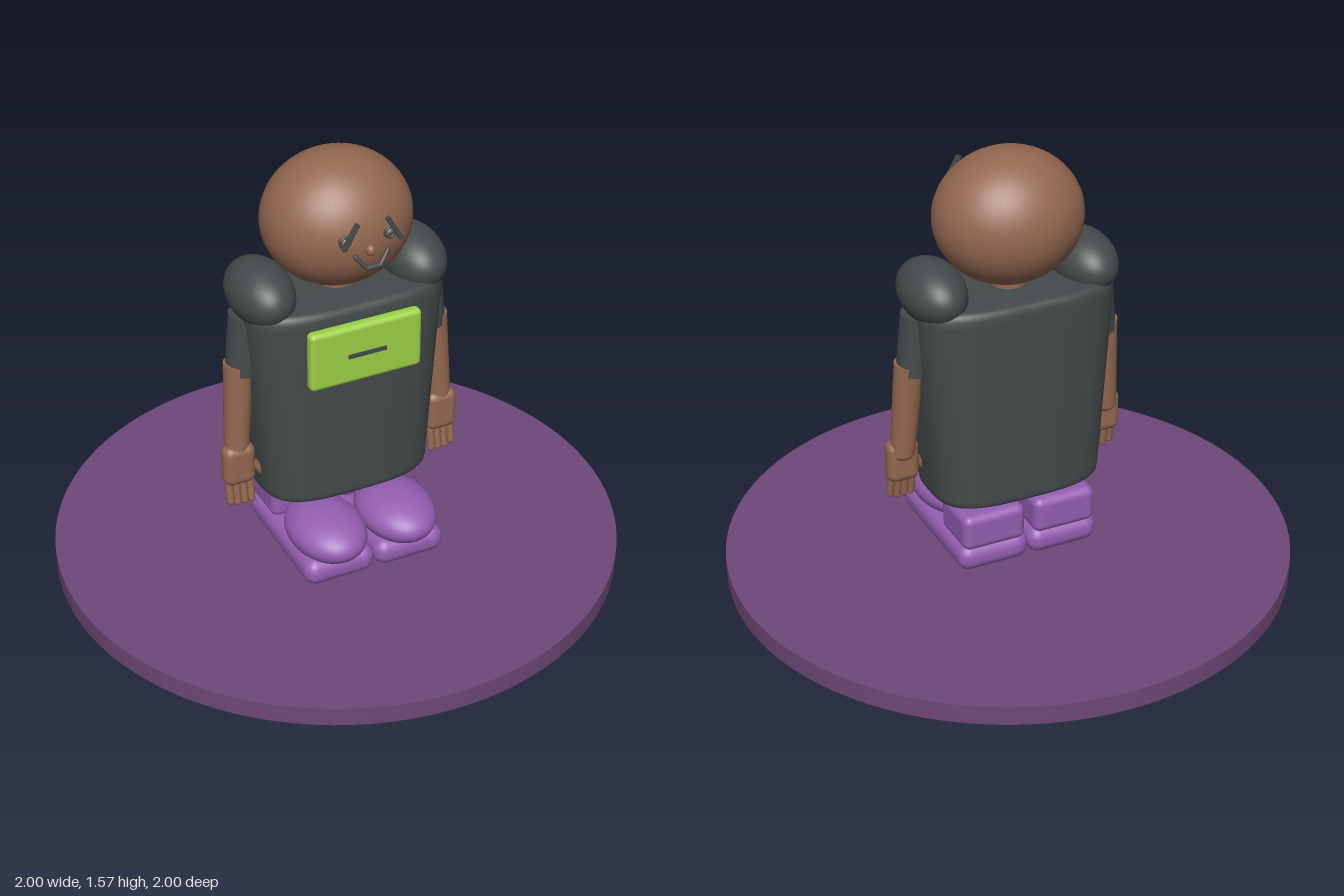
import * as THREE from 'three';
import { mergeVertices } from 'three/addons/utils/BufferGeometryUtils.js';
import { RoundedBoxGeometry } from 'three/addons/geometries/RoundedBoxGeometry.js';

const material = (name, color) => {
  const m = new THREE.MeshStandardMaterial({ color });
  m.name = name;
  return m;
};

export function createModel() {
  const skin = material('skin', 0x946850);
  const cloth = material('dark cloth', 0x444a4b);
  const shoe = material('shoe purple', 0x955fb2);
  const floor = material('base purple', 0x6e4878);
  const lime = material('lime', 0x9cd148);
  const model = new THREE.Group();

  const add = (parent, name, geometry, mat, x = 0, y = 0, z = 0) => {
    const mesh = new THREE.Mesh(geometry, mat);
    mesh.name = name;
    mesh.position.set(x, y, z);
    parent.add(mesh);
    return mesh;
  };
  const ellipsoid = (rx, ry, rz) => new THREE.SphereGeometry(1, 40, 28).scale(rx, ry, rz);
  const box = (w, h, d, r) => new RoundedBoxGeometry(w, h, d, 4, r);
  // Round limb between two points, radius r1 at a and r2 at b
  const limb = (parent, name, mat, a, b, r1, r2 = r1, capsule = false) => {
    const from = new THREE.Vector3(...a), to = new THREE.Vector3(...b);
    const dir = to.clone().sub(from), length = dir.length();
    const geo = capsule
      ? new THREE.CapsuleGeometry(r1, length, 6, 14)
      : new THREE.CylinderGeometry(r2, r1, length, 28);
    const mesh = add(parent, name, geo, mat, ...from.add(to).multiplyScalar(0.5).toArray());
    mesh.quaternion.setFromUnitVectors(new THREE.Vector3(0, 1, 0), dir.normalize());
    return mesh;
  };

  // Round stand
  add(model, 'base', new THREE.CylinderGeometry(1, 1, 0.07, 96), floor, 0, 0.035, 0);

  // Torso: a turned profile squared off into a tapered, rounded block
  const profile = [[0, 0.335], [0.9, 0.335], [0.97, 0.338], [0.995, 0.348], [1, 0.365], [1, 0.6],
    [1, 0.85], [1, 1.04], [0.99, 1.065], [0.96, 1.082], [0.9, 1.09], [0, 1.09]];
  let torso = new THREE.LatheGeometry(profile.map(p => new THREE.Vector2(...p)), 72);
  const pos = torso.attributes.position;
  const power = (v, n) => Math.sign(v) * Math.abs(v) ** n;
  for (let i = 0; i < pos.count; i++) {
    const x = pos.getX(i), y = pos.getY(i), z = pos.getZ(i);
    const r = Math.hypot(x, z) || 1e-9;
    const halfWidth = THREE.MathUtils.mapLinear(y, 0.335, 1.09, 0.308, 0.365);
    pos.setX(i, r * power(x / r, 0.62) * halfWidth);
    pos.setZ(i, r * power(z / r, 0.62) * 0.195);
  }
  torso.deleteAttribute('normal');
  torso.deleteAttribute('uv');
  torso = mergeVertices(torso, 1e-5);
  torso.computeVertexNormals();
  add(model, 'torso', torso, cloth);

  // Neck and head
  add(model, 'neck', new THREE.CylinderGeometry(0.065, 0.065, 0.12, 28), skin, 0, 1.11, 0);
  add(model, 'head', ellipsoid(0.26, 0.233, 0.233), skin, 0, 1.335, 0);

  // Chest panel with a slot
  add(model, 'chestPanel', box(0.41, 0.22, 0.046, 0.018), lime, 0, 0.935, 0.217);
  add(model, 'chestSlot', new THREE.BoxGeometry(0.14, 0.014, 0.008), cloth, 0, 0.935, 0.242);

  // Nose and smile
  add(model, 'nose', ellipsoid(0.016, 0.02, 0.018), skin, 0, 1.333, 0.255);
  const smile = [[-0.058, 1.325, 0.264], [-0.024, 1.285, 0.28], [0.024, 1.285, 0.28], [0.058, 1.325, 0.264]];
  for (let i = 0; i < 3; i++) limb(model, 'mouth', cloth, smile[i], smile[i + 1], 0.008, 0.008, true);

  // Mirrored parts
  for (const s of [1, -1]) {
    const side = new THREE.Group();
    side.name = s > 0 ? 'leftSide' : 'rightSide';
    model.add(side);

    // Eye and slanted brow
    add(side, 'eyeRim', new THREE.TorusGeometry(0.018, 0.005, 8, 24), cloth, s * 0.08, 1.37, 0.235);
    add(side, 'eye', ellipsoid(0.018, 0.018, 0.02), skin, s * 0.08, 1.37, 0.223);
    add(side, 'pupil', ellipsoid(0.008, 0.008, 0.004), cloth, s * 0.08, 1.37, 0.242);
    const brow = add(side, 'brow', new THREE.BoxGeometry(0.015, 0.1, 0.014), cloth, s * 0.078, 1.405, 0.269);
    brow.rotation.z = s * 0.52;

    // Shoulder pad, sleeve and forearm
    add(side, 'shoulderPad', ellipsoid(0.11, 0.107, 0.165), cloth, s * 0.28, 1.113, 0);
    limb(side, 'sleeve', cloth, [s * 0.35, 0.825, 0.005], [s * 0.325, 1.04, 0], 0.06, 0.066);
    limb(side, 'arm', skin, [s * 0.389, 0.51, 0.024], [s * 0.365, 0.86, 0.005], 0.043, 0.052);
    add(side, 'wrist', ellipsoid(0.043, 0.03, 0.043), skin, s * 0.389, 0.51, 0.024);

    // Hand
    add(side, 'palm', box(0.115, 0.155, 0.07, 0.03), skin, s * 0.388, 0.473, 0.035);
    for (let i = 0; i < 4; i++) {
      const x = s * (0.349 + i * 0.026);
      limb(side, 'finger', skin, [x, 0.41, 0.04], [x, i === 3 ? 0.335 : 0.325, 0.054], 0.013, 0.013, true);
    }
    limb(side, 'thumb', skin, [s * 0.345, 0.475, 0.04], [s * 0.304, 0.425, 0.045], 0.016, 0.016, true);

    // Leg and shoe
    add(side, 'leg', new THREE.CylinderGeometry(0.052, 0.052, 0.12, 28), shoe, s * 0.133, 0.31, 0);
    add(side, 'sole', box(0.264, 0.1, 0.52, 0.045), shoe, s * 0.133, 0.135, 0.075);
    add(side, 'heel', box(0.235, 0.135, 0.205, 0.03), shoe, s * 0.135, 0.24, -0.083);
    add(side, 'toeCap', ellipsoid(0.134, 0.084, 0.185), shoe, s * 0.134, 0.223, 0.195);
  }
  return model;
}
